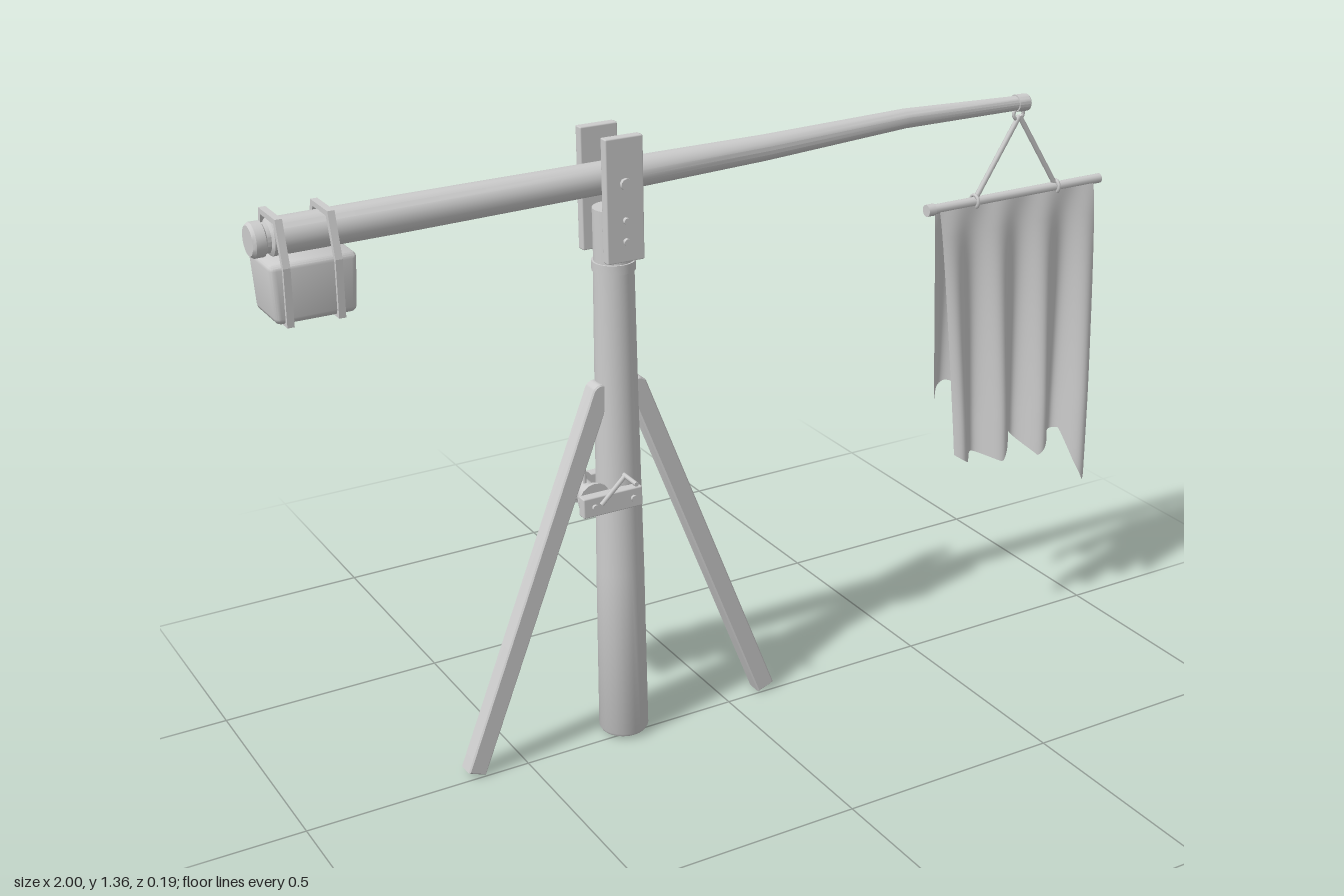
import * as THREE from 'three';
import { RoundedBoxGeometry } from 'three/addons/geometries/RoundedBoxGeometry.js';
import { toCreasedNormals } from 'three/addons/utils/BufferGeometryUtils.js';

const CZ = -0.022; // depth of the central plane
const PX = -0.255; // post centre
const V = (x, y, z = CZ) => new THREE.Vector3(x, y, z);
const lerp = THREE.MathUtils.lerp;

export function createModel() {
  const model = new THREE.Group();
  const grey = new THREE.MeshStandardMaterial({ color: 0xcccccc });
  grey.name = 'plain grey';
  const greyCloth = grey;
  greyCloth.side = THREE.DoubleSide;

  const add = (name, geo, x = 0, y = 0, z = 0, parent = model) => {
    const mesh = new THREE.Mesh(geo, grey);
    mesh.name = name;
    mesh.position.set(x, y, z);
    parent.add(mesh);
    return mesh;
  };
  // round bar between two points
  const bar = (name, a, b, r, sides = 12) => {
    const mesh = add(name, new THREE.CylinderGeometry(r, r, a.distanceTo(b), sides));
    mesh.position.copy(a).lerp(b, 0.5);
    mesh.quaternion.setFromUnitVectors(V(0, 1, 0), b.clone().sub(a).normalize());
    return mesh;
  };
  const profile = (pts, sides = 24) => toCreasedNormals(
    new THREE.LatheGeometry(pts.map(p => new THREE.Vector2(p[0], p[1])), sides), 0.6);

  // Upright post with a collar near the top
  add('post', profile([[0, 0.008], [0.05, 0.008], [0.054, 0.015], [0.051, 0.4], [0.045, 0.8],
    [0.042, 1.07], [0.045, 1.07], [0.045, 1.09], [0.041, 1.09], [0.041, 1.2], [0, 1.2]]), PX, 0, -0.024);

  // Slanted braces with rounded upper ends
  const brace = (name, x0, x1) => {
    const a = V(x0, 0.016), b = V(x1, 0.84);
    const len = a.distanceTo(b), w = 0.021;
    const s = new THREE.Shape();
    s.moveTo(-w, 0);
    s.lineTo(w, 0);
    s.lineTo(w, len - w);
    s.absarc(0, len - w, w, 0, Math.PI, false);
    s.closePath();
    const geo = new THREE.ExtrudeGeometry(s, { depth: 0.034, bevelEnabled: true, bevelSize: 0.003,
      bevelOffset: -0.003, bevelThickness: 0.003, bevelSegments: 1, curveSegments: 8 });
    geo.translate(0, 0, -0.017);
    const mesh = add(name, toCreasedNormals(geo, 0.5), x0, 0.008, CZ);
    mesh.rotation.z = -Math.atan2(b.x - a.x, b.y - a.y);
  };
  brace('rightBrace', -0.617, -0.292);
  brace('leftBrace', 0.1, -0.222);

  // Cheek plates holding the boom, with bolts
  for (const side of [1, -1]) {
    const z = CZ + side * 0.053;
    add('cheekPlate', new RoundedBoxGeometry(0.083, 0.255, 0.022, 1, 0.003), -0.26, 1.231, z);
    [[1.265, 0.012], [1.19, 0.007], [1.147, 0.007]].forEach(([y, r]) => {
      add('plateBolt', new THREE.CylinderGeometry(r, r, 0.012, 10), -0.26, y, z + side * 0.013)
        .rotation.x = Math.PI / 2;
    });
  }
  bar('pivotPin', V(-0.26, 1.265, CZ - 0.05), V(-0.26, 1.265, CZ + 0.05), 0.01);

  // Tapered boom, turned along x and gently bent
  const boomGeo = profile([[0, -1], [0.029, -1], [0.034, -0.994], [0.034, -0.975], [0.029, -0.972],
    [0.029, -0.964], [0.036, -0.96], [0.036, -0.7], [0.033, -0.26], [0.027, 0.1], [0.021, 0.45],
    [0.016, 0.745], [0.019, 0.745], [0.019, 0.775], [0.016, 0.778], [0, 0.778]], 20);
  boomGeo.rotateZ(-Math.PI / 2);
  const bend = new THREE.CatmullRomCurve3([V(-1, 1.255), V(-0.3, 1.262), V(0.1, 1.268),
    V(0.5, 1.281), V(0.78, 1.272)]);
  const bp = boomGeo.attributes.position;
  const bendPts = bend.getPoints(100);
  for (let i = 0; i < bp.count; i++) {
    const x = bp.getX(i);
    const k = Math.max(1, bendPts.findIndex(p => p.x >= x - 1e-6));
    const p = bendPts[k - 1], q = bendPts[k];
    bp.setY(i, bp.getY(i) + lerp(p.y, q.y, THREE.MathUtils.clamp((x - p.x) / (q.x - p.x), 0, 1)));
  }
  add('boom', boomGeo, 0, 0, -0.026);

  // Counterweight block, narrower at the foot
  const weightGeo = new RoundedBoxGeometry(0.17, 0.118, 0.122, 2, 0.012);
  const wp = weightGeo.attributes.position;
  for (let i = 0; i < wp.count; i++) {
    const k = 1 - 0.07 * (0.5 - wp.getY(i) / 0.118);
    wp.setX(i, wp.getX(i) * k);
    wp.setZ(i, wp.getZ(i) * k);
  }
  weightGeo.computeVertexNormals();
  add('counterweight', toCreasedNormals(weightGeo, 0.7), -0.9, 1.163, CZ);

  // Straps looped over the boom and around the weight
  const strapOutline = [[-0.044, 1.302], [0.044, 1.302], [0.068, 1.215], [0.064, 1.1], [-0.064, 1.1], [-0.068, 1.215]];
  const strapHole = [[-0.034, 1.291], [0.034, 1.291], [0.058, 1.213], [0.055, 1.108], [-0.055, 1.108], [-0.058, 1.213]];
  for (const x of [-0.955, -0.855]) {
    const s = new THREE.Shape(strapOutline.map(p => new THREE.Vector2(...p)));
    s.holes.push(new THREE.Path(strapHole.map(p => new THREE.Vector2(...p))));
    const geo = new THREE.ExtrudeGeometry(s, { depth: 0.014, bevelEnabled: false });
    geo.translate(0, 0, -0.007);
    add('weightStrap', geo, x, 0, CZ).rotation.y = Math.PI / 2;
  }

  // Winch: two side bars, drum, crank and line
  for (const side of [1, -1]) {
    const z = CZ + side * 0.053;
    add('winchBar', new RoundedBoxGeometry(0.137, 0.044, 0.024, 1, 0.003), -0.302, 0.588, z);
    for (const x of [-0.345, -0.255]) {
      add('winchBolt', new THREE.CylinderGeometry(0.007, 0.007, 0.008, 8), x, 0.588, z + side * 0.014)
        .rotation.x = Math.PI / 2;
    }
  }
  const WX = -0.332, WY = 0.592;
  bar('winchDrum', V(WX, WY, CZ - 0.04), V(WX, WY, CZ + 0.04), 0.024, 16);
  for (const z of [-0.036, 0.036]) {
    bar('drumFlange', V(WX, WY, CZ + z - 0.004), V(WX, WY, CZ + z + 0.004), 0.036, 16);
  }
  bar('crankArm', V(WX, WY, 0.047), V(-0.276, 0.645, 0.047), 0.005, 8);
  bar('crankHandle', V(-0.276, 0.645, 0.042), V(-0.276, 0.645, 0.097), 0.005, 8);
  bar('winchLine', V(-0.335, 0.6), V(-0.335, 0.75), 0.004, 8);

  // Hook ring, hanging ropes and banner rod
  add('hookRing', new THREE.TorusGeometry(0.013, 0.004, 8, 16), 0.752, 1.25, CZ);
  for (const x of [0.643, 0.868]) {
    bar('hangingRope', V(0.755, 1.245), V(x, 1.07), 0.006, 8);
    add('ropeLoop', new THREE.TorusGeometry(0.014, 0.004, 8, 16), x, 1.067, CZ).rotation.y = Math.PI / 2;
  }
  const rod = bar('bannerRod', V(0.515, 1.066), V(0.995, 1.066), 0.011);
  rod.scale.set(1, 1, 1);
  bar('rodEnd', V(0.513, 1.066), V(0.532, 1.066), 0.0135);

  // Pleated cloth halves with ragged hems; hem is a list of [x, y]
  const cloth = (name, side, hem, phase, swing) => {
    const geo = new THREE.PlaneGeometry(1, 1, 80, 20);
    const p = geo.attributes.position;
    for (let i = 0; i < p.count; i++) {
      const u = p.getX(i) + 0.5, v = 0.5 - p.getY(i);
      const xb = lerp(0.57, 0.945, u);
      const k = Math.max(1, hem.findIndex(h => h[0] >= xb - 1e-6));
      const [a, b] = [hem[k - 1], hem[k]];
      const yb = lerp(a[1], b[1], (xb - a[0]) / (b[0] - a[0]));
      const fold = Math.cos((xb - phase) / 0.113 * Math.PI * 2);
      const y = lerp(1.06, yb, v);
      const drop = (1.06 - y) / 0.6;
      const out = 0.009 + swing * Math.pow(drop, 0.8) + 0.024 * Math.min(1, Math.pow(drop * 1.2, 0.6)) * fold;
      p.setXYZ(i, lerp(lerp(0.543, 0.972, u), xb, v), y, CZ + side * Math.max(out, 0.004));
    }
    geo.computeVertexNormals();
    add(name, geo);
  };
  cloth('frontCloth', 1, [[0.57, 0.495], [0.607, 0.47], [0.64, 0.478], [0.7, 0.455], [0.735, 0.515],
    [0.805, 0.445], [0.84, 0.48], [0.89, 0.485], [0.915, 0.4], [0.935, 0.355], [0.945, 0.37]], 0.59, 0.046);
  cloth('backCloth', -1, [[0.57, 0.6], [0.62, 0.63], [0.67, 0.62], [0.71, 0.66], [0.77, 0.625],
    [0.83, 0.665], [0.88, 0.63], [0.945, 0.64]], 0.61, 0.032);

  return model;
}
